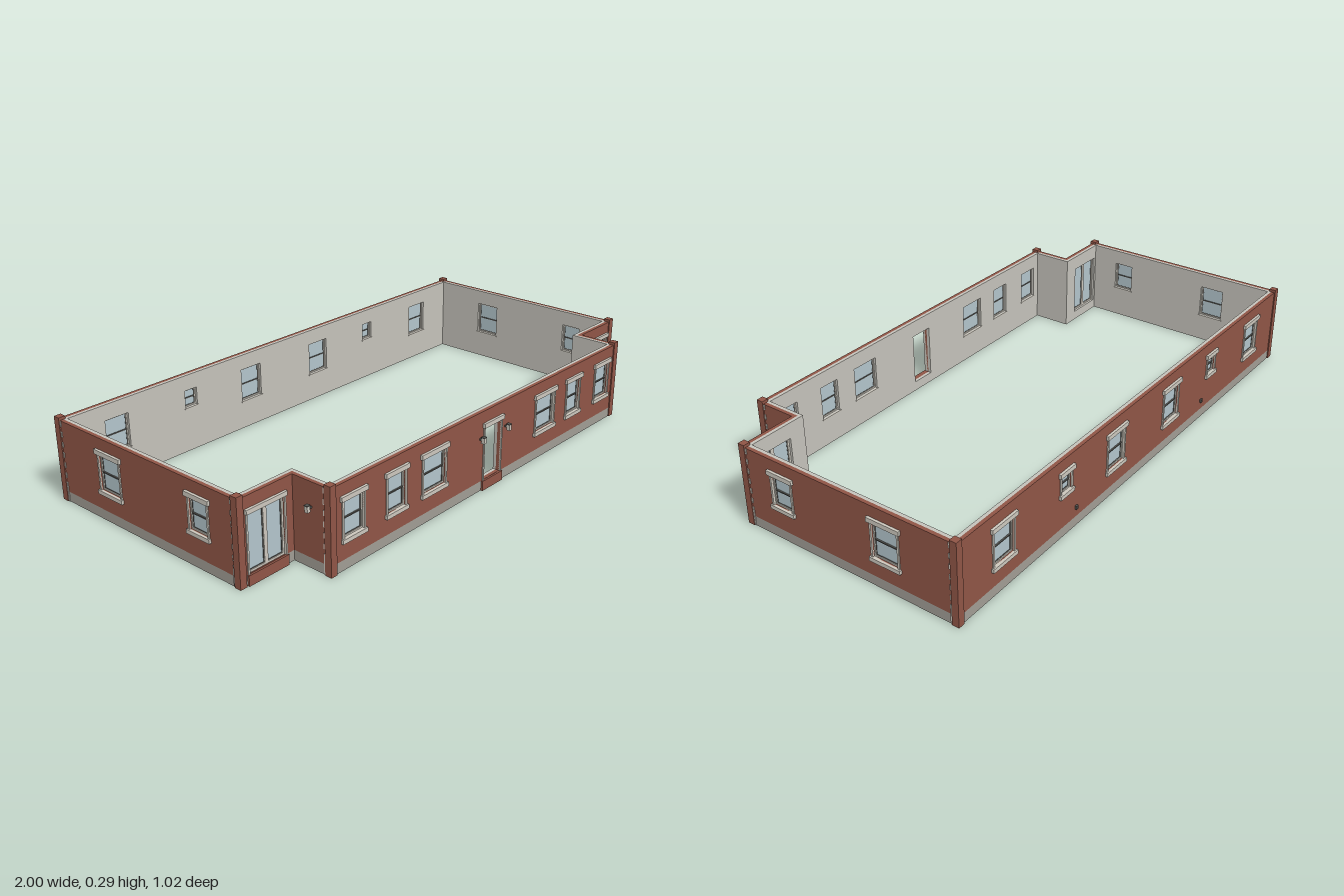
import * as THREE from 'three';

const mat = (name, color) => {
  const m = new THREE.MeshStandardMaterial({ color });
  m.name = name;
  return m;
};

export function createModel() {
  const brick = mat('brick red', 0x8f5546);
  const stone = mat('foundation grey', 0xa09c94);
  const plaster = mat('plaster grey', 0xc4c2ba);
  const trim = mat('trim beige', 0xccc7bd);
  const glass = mat('glass blue', 0xb2c4cb);
  const dark = mat('dark sash', 0x555450);

  const house = new THREE.Group();
  house.name = 'building';

  const BASE = 0.035, TOP = 0.285, SKIN = 0.013, LINING = 0.012;

  // Box given by its limits on each axis
  function box(parent, name, m, x0, x1, y0, y1, z0, z1) {
    const mesh = new THREE.Mesh(new THREE.BoxGeometry(x1 - x0, y1 - y0, z1 - z0), m);
    mesh.position.set((x0 + x1) / 2, (y0 + y1) / 2, (z0 + z1) / 2);
    mesh.name = name;
    parent.add(mesh);
    return mesh;
  }

  // Upright slab with rectangular openings
  function slab(parent, name, m, a, b, y0, y1, z, depth, holes) {
    const rect = (P, l, r, d, t) => {
      const p = new P();
      p.moveTo(l, d); p.lineTo(r, d); p.lineTo(r, t); p.lineTo(l, t); p.closePath();
      return p;
    };
    const shape = rect(THREE.Shape, a, b, y0, y1);
    for (const h of holes) shape.holes.push(rect(THREE.Path, h.l, h.r, Math.max(h.d, y0 + 0.0005), h.t));
    const mesh = new THREE.Mesh(new THREE.ExtrudeGeometry(shape, { depth, bevelEnabled: false }), m);
    mesh.position.z = z;
    mesh.name = name;
    parent.add(mesh);
  }

  // Rectangular frame around an opening
  function frame(g, name, m, l, r, d, t, w, z0, z1) {
    box(g, name, m, l, l + w, d, t, z0, z1);
    box(g, name, m, r - w, r, d, t, z0, z1);
    box(g, name, m, l + w, r - w, t - w, t, z0, z1);
    box(g, name, m, l + w, r - w, d, d + w, z0, z1);
  }

  function addWindow(wall, o) {
    const g = new THREE.Group();
    g.name = 'window';
    wall.add(g);
    const { l, r, d, t } = o;
    // Stone surround
    box(g, 'lintel', trim, o.u0, o.u1, t, o.y1, -0.004, 0.009);
    box(g, 'windowSill', trim, o.u0 + 0.003, o.u1 - 0.003, o.y0, d, -0.004, 0.009);
    box(g, 'leftJamb', trim, l - 0.007, l, d, t, -0.01, 0.004);
    box(g, 'rightJamb', trim, r, r + 0.007, d, t, -0.01, 0.004);
    box(g, 'innerSill', trim, l - 0.004, r + 0.004, d - 0.004, d, -0.028, -0.02);
    // Sashes
    const mid = (d + t) / 2;
    frame(g, 'sashFrame', trim, l, r, d, t, 0.005, -0.016, -0.004);
    box(g, 'meetingRail', dark, l + 0.005, r - 0.005, mid - 0.002, mid + 0.002, -0.015, -0.004);
    frame(g, 'sashLine', dark, l + 0.005, r - 0.005, d + 0.005, t - 0.005, 0.0016, -0.013, -0.007);
    box(g, 'pane', glass, l + 0.005, r - 0.005, d + 0.005, t - 0.005, -0.012, -0.009);
  }

  function addPatioDoor(wall, o) {
    const g = new THREE.Group();
    g.name = 'patioDoor';
    wall.add(g);
    const { l, r, d, t } = o, mid = (l + r) / 2;
    box(g, 'lintel', trim, o.u0, o.u1, t, o.y1, -0.004, 0.009);
    box(g, 'leftJamb', trim, l - 0.006, l, d, t, -0.01, 0.004);
    box(g, 'rightJamb', trim, r, r + 0.006, d, t, -0.01, 0.004);
    box(g, 'doorstep', brick, o.u0, o.u1, 0, BASE, -0.01, 0.007);
    for (const [a, b] of [[l, mid], [mid, r]]) {
      frame(g, 'doorFrame', trim, a, b, d, t, 0.007, -0.016, -0.004);
      frame(g, 'doorLine', dark, a + 0.007, b - 0.007, d + 0.007, t - 0.007, 0.0016, -0.013, -0.007);
      box(g, 'pane', glass, a + 0.007, b - 0.007, d + 0.007, t - 0.007, -0.012, -0.009);
    }
  }

  // Open doorway with surround and step
  function addDoorway(wall, o) {
    const g = new THREE.Group();
    g.name = 'entrance';
    wall.add(g);
    const { l, r, d, t } = o;
    box(g, 'lintel', trim, o.u0, o.u1, t, o.y1, -0.004, 0.009);
    box(g, 'leftJamb', trim, l - 0.006, l, d, t, -0.01, 0.004);
    box(g, 'rightJamb', trim, r, r + 0.006, d, t, -0.01, 0.004);
    box(g, 'doorHead', dark, l, r, t - 0.004, t, -0.016, -0.004);
    box(g, 'doorstep', brick, o.u0, o.u1, 0, BASE, -0.01, 0.007);
  }

  const win = (u0, u1, y0 = 0.092, y1 = 0.245) =>
    ({ add: addWindow, u0, u1, y0, y1, l: u0 + 0.014, r: u1 - 0.014, d: y0 + 0.014, t: y1 - 0.016 });
  const patio = (u0, u1) =>
    ({ add: addPatioDoor, u0, u1, y1: 0.245, l: u0 + 0.008, r: u1 - 0.008, d: BASE + 0.001, t: 0.23 });
  const doorway = { add: addDoorway, u0: -0.055, u1: 0.055, y1: 0.242, l: -0.045, r: 0.045, d: BASE + 0.001, t: 0.226 };

  // Wall facing local +z; ea and eb shift the lining's ends against the brick's
  function addWall(name, x, z, turn, a, b, ea, eb, openings) {
    const g = new THREE.Group();
    g.name = name;
    g.position.set(x, 0, z);
    g.rotation.y = turn;
    house.add(g);
    slab(g, 'brickSkin', brick, a, b, BASE, TOP, -SKIN, SKIN, openings);
    box(g, 'foundation', stone, a, b, 0, BASE, -SKIN, 0);
    slab(g, 'innerLining', plaster, a + ea, b + eb, 0, TOP, -SKIN - LINING, LINING, openings);
    for (const o of openings) o.add(g, o);
    return g;
  }

  const X = 0.99, BACK = -0.5, WING = 0.338, BAYX = 0.775, FRONT = 0.487;
  const Q = Math.PI / 2;

  const front = addWall('frontWall', 0, FRONT, 0, -BAYX, BAYX, SKIN, -SKIN, [
    win(-0.735, -0.622), win(-0.542, -0.434), win(-0.375, -0.238), doorway,
    win(0.238, 0.375), win(0.432, 0.54), win(0.622, 0.735)]);
  const back = addWall('backWall', 0, BACK, 2 * Q, -X, X, SKIN, -SKIN, [-1, 1].flatMap(s => {
    const pair = (a, b, y) => win(Math.min(s * a, s * b), Math.max(s * a, s * b), y);
    return [pair(0.115, 0.238), pair(0.422, 0.503, 0.15), pair(0.718, 0.84)];
  }));

  // Wall lamp on a bracket
  function addLamp(wall, u, y) {
    const g = new THREE.Group();
    g.name = 'wallLamp';
    wall.add(g);
    box(g, 'bracket', dark, u - 0.003, u + 0.003, y - 0.003, y + 0.003, 0, 0.012);
    box(g, 'lantern', trim, u - 0.006, u + 0.006, y - 0.011, y + 0.009, 0.01, 0.022);
    box(g, 'lanternCap', dark, u - 0.007, u + 0.007, y + 0.009, y + 0.012, 0.009, 0.023);
  }

  for (const s of [-1, 1]) {
    addLamp(front, s * 0.07, 0.192);
    box(back, 'gardenTap', dark, s * 0.405 - 0.005, s * 0.405 + 0.005, 0.065, 0.078, 0, 0.007);

    // Wings beside the projecting bay
    const inner = BAYX - SKIN;
    if (s > 0) addWall('leftWingWall', 0, WING, 0, inner, X, -LINING, -SKIN, [patio(0.803, 0.963)]);
    else addWall('rightWingWall', 0, WING, 0, -X, -inner, SKIN, LINING, [patio(-0.963, -0.803)]);

    // Side walls; local u is -z on the left and +z on the right
    const span = (z0, z1) => (s > 0 ? [-z1, -z0] : [z0, z1]);
    const ends = (e0, e1) => (s > 0 ? [-e1, -e0] : [e0, e1]);
    const side = addWall(s > 0 ? 'leftWall' : 'rightWall', s * X, 0, s * Q, ...span(BACK, WING), SKIN, -SKIN,
      [win(...span(0.12, 0.225), 0.107), win(...span(-0.3, -0.177))]);
    const bay = addWall(s > 0 ? 'bayLeftWall' : 'bayRightWall', s * BAYX, 0, s * Q,
      ...span(WING - SKIN, FRONT), ...ends(-LINING, -SKIN), []);
    addLamp(bay, -s * 0.412, 0.204);

    // Corner piers with toothed light joints on the side faces
    const corners = [[X, BACK, -1, side], [X, WING, 1, side], [BAYX, FRONT, 1, bay]];
    for (const [cx, cz, dir, wall] of corners) {
      const px = s * (cx - 0.0085), pz = cz - dir * 0.0085;
      box(house, 'cornerPier', brick, px - 0.0125, px + 0.0125, 0, 0.295, pz - 0.0125, pz + 0.0125);
      const e = cz - dir * 0.021, [u0, u1] = span(Math.min(e, e - dir * 0.006), Math.max(e, e - dir * 0.006));
      box(wall, 'pierFoot', trim, u0, u1, 0, 0.07, -0.001, 0.002);
      for (let i = 0; i < 6; i++) {
        const y = 0.085 + i * 0.036;
        box(wall, 'pierTooth', trim, u0, u1, y, y + 0.018, -0.001, 0.002);
      }
    }
  }

  return house;
}
